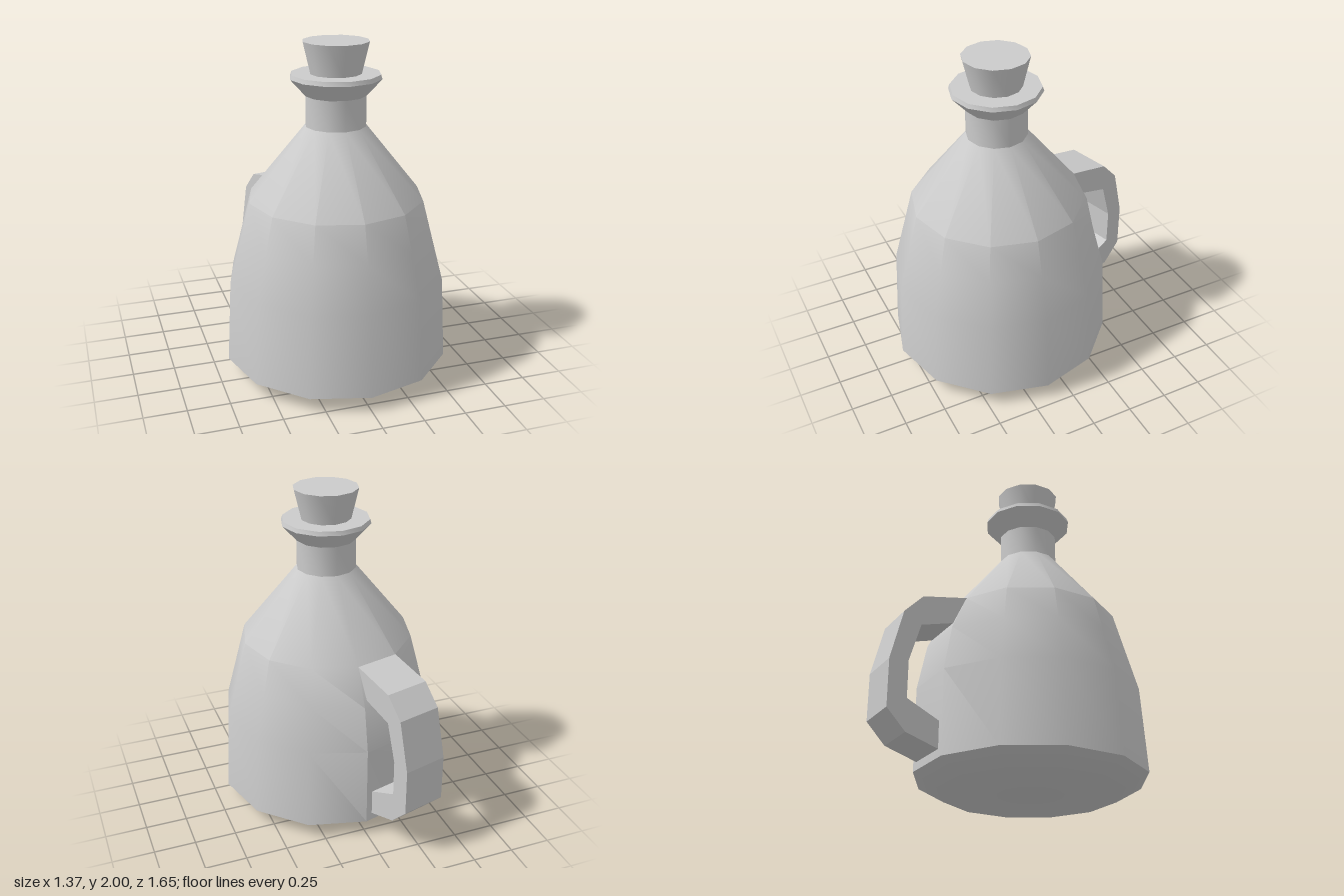
import * as THREE from 'three';
import { toCreasedNormals } from 'three/addons/utils/BufferGeometryUtils.js';

const SIDES = 12;
const AXIS_Z = 0.142;

const material = new THREE.MeshStandardMaterial({ color: 0xcccccc });

function addMesh(group, name, geometry) {
  const mesh = new THREE.Mesh(geometry, material);
  mesh.name = name;
  group.add(mesh);
  return mesh;
}

// Twelve-sided turned shape from [radius, height] pairs
function turned(profile) {
  return new THREE.LatheGeometry(profile.map(([r, y]) => new THREE.Vector2(r, y)), SIDES);
}

const crease = (geometry) => toCreasedNormals(geometry, THREE.MathUtils.degToRad(34));

// Body, with the two columns behind the handle pushed out a little
function bodyGeometry() {
  const profile = [[0, 0], [0.525, 0], [0.683, 0.09], [0.655, 0.59], [0.583, 0.86], [0.525, 1.08], [0.18, 1.51]];
  const bulge = { 3: 0.683, 4: 0.63 };
  const geometry = turned(profile);
  const pos = geometry.attributes.position;
  for (const column of [6, 7]) {
    for (const row of Object.keys(bulge)) {
      const i = column * profile.length + Number(row);
      const k = bulge[row] / profile[row][0];
      pos.setX(i, pos.getX(i) * k);
      pos.setZ(i, pos.getZ(i) * k);
    }
  }
  return crease(geometry);
}

// Handle: flat C outline (distance from axis, height) given thickness
function handleGeometry(width) {
  const outline = [
    // outer edge, bottom to top
    [0.58, 0.11], [0.668, 0.14], [0.854, 0.2], [0.968, 0.32], [0.968, 0.6], [0.895, 0.9], [0.782, 1.02], [0.505, 1.08],
    // inner edge, top to bottom
    [0.46, 0.94], [0.616, 0.89], [0.787, 0.84], [0.854, 0.61], [0.854, 0.39], [0.668, 0.3], [0.58, 0.255],
  ];
  const shape = new THREE.Shape(outline.map(([r, y]) => new THREE.Vector2(r, y)));
  const geometry = new THREE.ExtrudeGeometry(shape, { depth: width, bevelEnabled: false });
  geometry.translate(0, 0, -width / 2);
  return geometry;
}

export function createModel() {
  const jug = new THREE.Group();
  jug.name = 'jug';

  const vessel = new THREE.Group();
  vessel.name = 'vessel';
  vessel.position.z = AXIS_Z;
  jug.add(vessel);

  addMesh(vessel, 'body', bodyGeometry());
  addMesh(vessel, 'neckAndLip', crease(turned([
    [0.18, 1.51], [0.18, 1.69], [0.27, 1.79], [0.262, 1.815], [0, 1.815],
  ])));
  addMesh(vessel, 'stopper', crease(turned([[0.15, 1.81], [0.195, 2], [0, 2]])));

  // Handle sits at the back, centred on the side face 15 degrees off the back corner
  const handle = addMesh(vessel, 'handle', handleGeometry(0.275));
  handle.rotation.y = THREE.MathUtils.degToRad(105);

  return jug;
}
